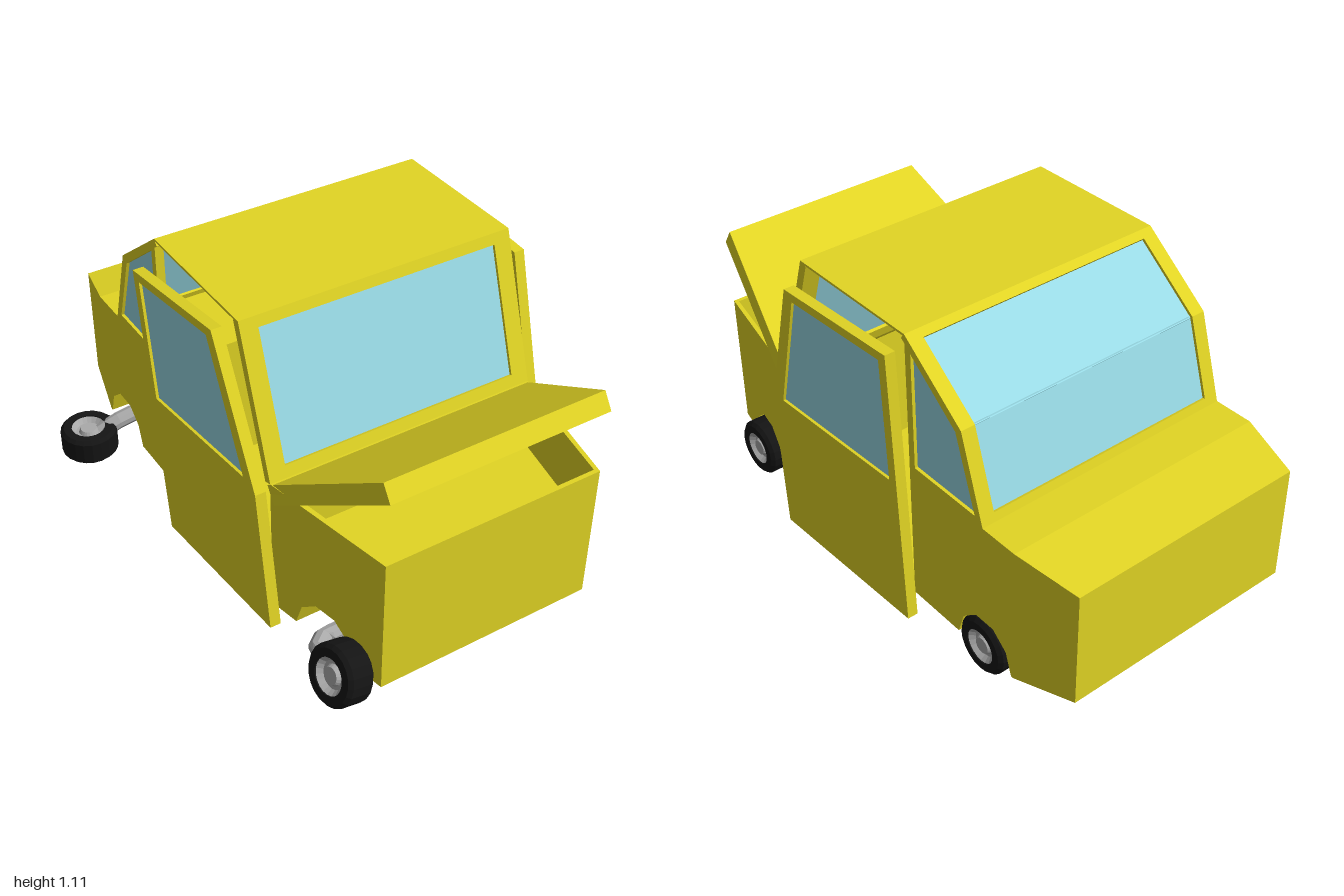
import * as THREE from 'three';

const paint = new THREE.MeshStandardMaterial({ color: 0xe2d524, flatShading: true, side: THREE.DoubleSide });
const glass = new THREE.MeshStandardMaterial({ color: 0x99dbe6, flatShading: true, side: THREE.DoubleSide });
const rubber = new THREE.MeshStandardMaterial({ color: 0x141414, flatShading: true, side: THREE.DoubleSide });
const metal = new THREE.MeshStandardMaterial({ color: 0xaaaaaa, flatShading: true, side: THREE.DoubleSide });

const HALF = 0.483;   // half width of the body
const LOW = 0.12, WAIST = 0.615, ROOF = 1.105;
const REAR = 0.452, TAIL = 0.92, FRONT_PILLAR = -0.236;

// Narrowing of the body towards both ends
const taper = (u) =>
  u > REAR ? 1 - 0.2 * (u - REAR) / (TAIL - REAR)
    : u < -0.72 ? 1 - 0.106 * (-0.72 - u) / 0.217 : 1;

const vecs = (pts) => pts.map(([x, y]) => new THREE.Vector2(x, y));

function extrude(pts, hole, depth) {
  const shape = new THREE.Shape(vecs(pts));
  if (hole) shape.holes.push(new THREE.Path(vecs(hole)));
  return new THREE.ExtrudeGeometry(shape, { depth, bevelEnabled: false });
}

function add(parent, name, geometry, material = paint) {
  const mesh = new THREE.Mesh(geometry, material);
  mesh.name = name;
  parent.add(mesh);
  return mesh;
}

// Side profile extruded across the car from z0 to z1, following the taper
function prism(pts, z0 = -HALF, z1 = HALF, hole) {
  const g = extrude(pts, hole, z1 - z0).translate(0, 0, z0);
  const p = g.attributes.position;
  for (let i = 0; i < p.count; i++) p.setZ(i, p.getZ(i) * taper(p.getX(i)));
  g.computeVertexNormals();
  return g;
}

const rect = (x0, y0, x1, y1) => [[x0, y0], [x1, y0], [x1, y1], [x0, y1]];

// Panel across the car: its y runs from a along the direction a -> b, its outer face is on that line
function slab(a, b, pts, t, hole, sink = 0) {
  const d = new THREE.Vector3(b[0] - a[0], b[1] - a[1], 0).normalize();
  const n = new THREE.Vector3(-d.y, d.x, 0);
  const m = new THREE.Matrix4().makeBasis(new THREE.Vector3(0, 0, 1), d, n).setPosition(a[0], a[1], 0);
  return extrude(pts, hole, t).translate(0, 0, -t - sink).applyMatrix4(m);
}

const dist = (a, b) => Math.hypot(b[0] - a[0], b[1] - a[1]);

// Wheel arch outline from left to right
const arch = (u) => [[-0.125, LOW], [-0.1, 0.2], [-0.04, 0.25], [0.04, 0.25], [0.1, 0.2], [0.125, LOW]]
  .map(([x, y]) => [u + x, y]);

function makeWheel(name, pos, axis) {
  const wheel = new THREE.Group();
  wheel.name = name;
  const tyre = [[0.06, -0.05], [0.088, -0.05], [0.1, -0.038], [0.1, 0.038], [0.088, 0.05], [0.06, 0.05], [0.06, -0.05]];
  const rim = [[0, -0.04], [0.035, -0.04], [0.045, -0.028], [0.062, -0.048], [0.062, 0.048],
    [0.045, 0.028], [0.035, 0.028], [0.028, 0.042], [0, 0.042]];
  add(wheel, 'tyre', new THREE.LatheGeometry(vecs(tyre), 20), rubber);
  add(wheel, 'rim', new THREE.LatheGeometry(vecs(rim), 20), metal);
  wheel.position.set(...pos);
  wheel.quaternion.setFromUnitVectors(new THREE.Vector3(0, 1, 0), new THREE.Vector3(...axis).normalize());
  return wheel;
}

function makeAxle(name, pts, parent) {
  const path = new THREE.CurvePath();
  const v = pts.map((p) => new THREE.Vector3(...p));
  for (let i = 0; i + 1 < v.length; i++) path.add(new THREE.LineCurve3(v[i], v[i + 1]));
  add(parent, name, new THREE.TubeGeometry(path, 16, 0.03, 10), metal);
}

// Loose door, its lower front corner at the origin
function makeDoor(name, u, y, z, angle) {
  const door = new THREE.Group();
  door.name = name;
  const win = [[0.035, 0.53], [0.62, 0.53], [0.485, 0.955], [0.035, 0.955]];
  const outline = [[0, 0], [0.686, 0], [0.686, 0.497], [0.522, 0.985], [0, 0.985]];
  add(door, 'doorPanel', extrude(outline, win, 0.037));
  add(door, 'doorGlass', extrude(win, null, 0.017).translate(0, 0, 0.01), glass);
  door.position.set(u, y, z);
  door.rotation.z = angle;
  return door;
}

export function createModel() {
  const model = new THREE.Group();
  const car = new THREE.Group();
  car.name = 'car';
  car.rotation.y = -0.234;
  car.position.set(0.0123, 0, -0.0516);
  model.add(car);

  // Lower body
  add(car, 'nose', prism([[-0.937, 0.16], [-0.72, LOW], [-0.72, WAIST], [-0.937, 0.575]]));
  add(car, 'frontBody', prism([[-0.72, LOW], ...arch(-0.585), [FRONT_PILLAR, LOW], [FRONT_PILLAR, WAIST], [-0.72, WAIST]]));
  add(car, 'floor', prism(rect(FRONT_PILLAR, LOW, REAR, LOW + 0.02)));

  // Open rear compartment
  add(car, 'rearBody', prism([[REAR, LOW], ...arch(0.683), [TAIL, LOW], [TAIL, 0.4], [REAR, 0.4]]));
  add(car, 'tailWall', prism(rect(TAIL - 0.015, 0.4, TAIL, WAIST)));
  add(car, 'bulkhead', prism(rect(REAR, 0.4, REAR + 0.015, WAIST)));
  for (const s of [-1, 1]) {
    const z = [s * HALF, s * (HALF - 0.018)].sort((a, b) => a - b);
    add(car, 'compartmentSide', prism(rect(REAR, 0.4, TAIL, WAIST), ...z));
  }

  // Raised lid
  const hinge = [0.436, 0.6], tip = [0.893, 0.903], lid = dist(hinge, tip);
  add(car, 'lid', slab(hinge, tip, [[-HALF, 0], [HALF, 0], [0.386, lid], [-0.386, lid]], 0.065));

  // Windscreen in two bent segments
  const base = [-0.58, WAIST], bend = [-0.488, 0.91], top = [FRONT_PILLAR, ROOF];
  const l1 = dist(base, bend), l2 = dist(bend, top), e = 0.05, W = HALF - e;
  add(car, 'windscreenFrameLower', slab(base, bend,
    [[-HALF, 0], [HALF, 0], [HALF, l1], [W, l1], [W, 0.03], [-W, 0.03], [-W, l1], [-HALF, l1]], 0.025));
  add(car, 'windscreenFrameUpper', slab(bend, top,
    [[-HALF, 0], [-W, 0], [-W, l2 - 0.03], [W, l2 - 0.03], [W, 0], [HALF, 0], [HALF, l2], [-HALF, l2]], 0.025));
  add(car, 'windscreenLower', slab(base, bend, rect(-W, 0.03, W, l1), 0.006, null, 0.01), glass);
  add(car, 'windscreenUpper', slab(bend, top, rect(-W, 0, W, l2 - 0.03), 0.006, null, 0.01), glass);

  // Roof sheet and rear window
  const rearTop = [0.288, ROOF], rearBase = [REAR, WAIST], l3 = dist(rearTop, rearBase);
  add(car, 'roof', slab(top, rearTop, rect(-HALF, 0, HALF, dist(top, rearTop)), 0.008));
  const rearHole = rect(-HALF + 0.06, 0.037, HALF - 0.06, l3 - 0.04);
  add(car, 'rearWindowFrame', slab(rearTop, rearBase, rect(-HALF, 0, HALF, l3), 0.03, rearHole));
  add(car, 'rearWindow', slab(rearTop, rearBase, rearHole, 0.008, null, 0.01), glass);

  // Quarter windows beside the windscreen
  const quarter = [base, [FRONT_PILLAR, WAIST], top, bend];
  const quarterHole = [[-0.545, 0.64], [-0.262, 0.64], [-0.262, 1.05], [-0.462, 0.893]];
  for (const s of [-1, 1]) {
    const z0 = s > 0 ? HALF - 0.03 : -HALF;
    add(car, 'quarterFrame', prism(quarter, z0, z0 + 0.03, quarterHole));
    add(car, 'quarterGlass', prism(quarterHole, z0 + 0.011, z0 + 0.019), glass);
  }

  // Doors knocked off their hinges
  car.add(makeDoor('leftDoor', -0.153, 0, 0.498, 0.149));
  car.add(makeDoor('rightDoor', -0.272, 0.063, -0.54, -0.056));

  // Wheels: two in place, two on bent axles
  car.add(makeWheel('rightFrontWheel', [-0.579, 0.15, -0.447], [0, 0, -1]));
  car.add(makeWheel('rightRearWheel', [0.683, 0.15, -0.44], [0, 0, -1]));
  car.add(makeWheel('leftFrontWheel', [-0.581, 0.145, 0.634], [0, 1, 0]));
  car.add(makeWheel('leftRearWheel', [0.854, 0.18, 0.487], [0.1, 0.3, 0.95]));
  makeAxle('frontAxle', [[-0.575, 0.2, 0.2], [-0.56, 0.2, 0.46], [-0.565, 0.185, 0.53], [-0.58, 0.14, 0.62]], car);
  makeAxle('rearAxle', [[0.683, 0.15, 0.2], [0.683, 0.15, 0.44], [0.72, 0.155, 0.485], [0.85, 0.175, 0.475]], car);

  return model;
}
